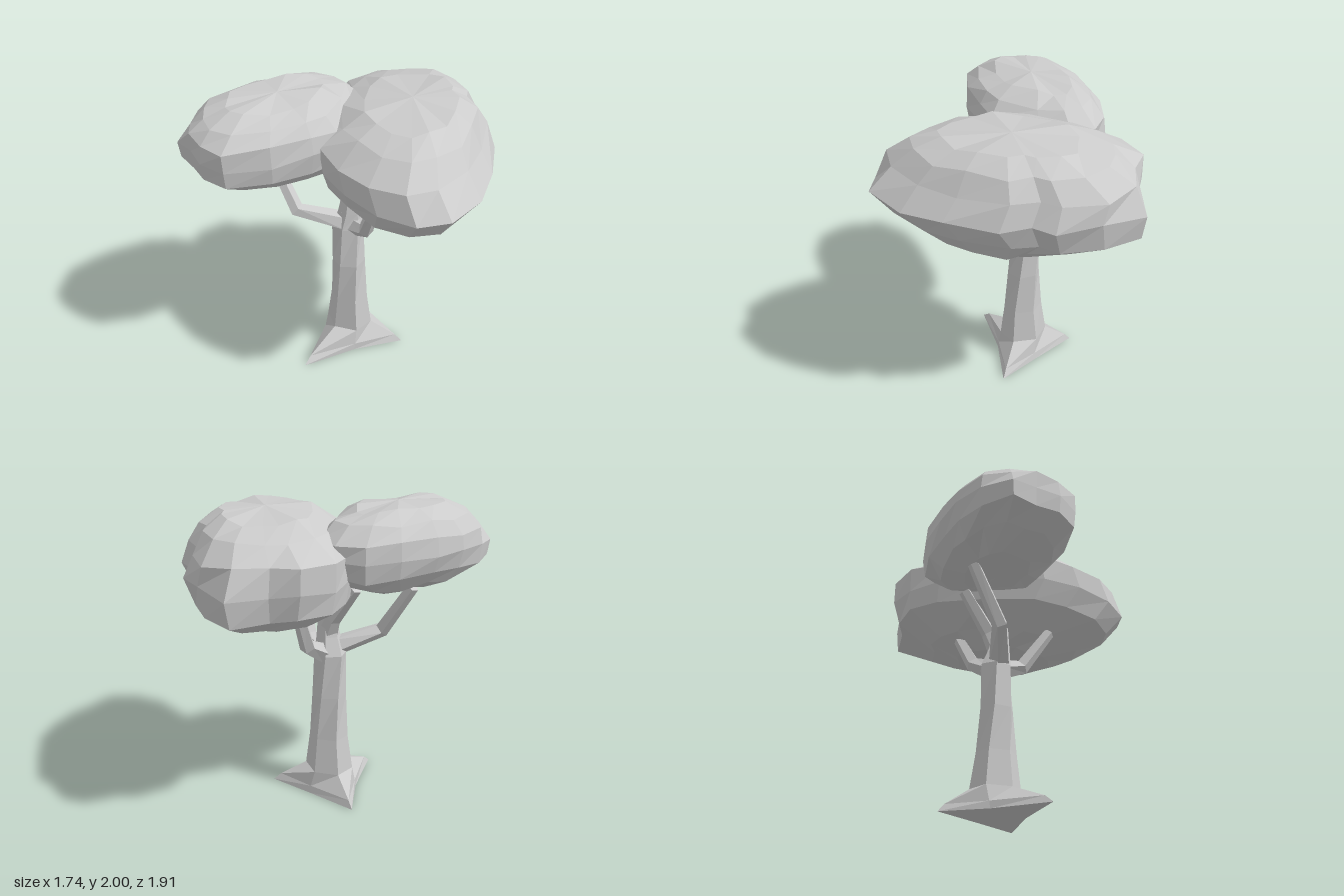
import * as THREE from 'three';

const material = new THREE.MeshStandardMaterial({ color: 0xcccccc, flatShading: true });

// Small seeded generator, returns -1..1
function seeded(seed) {
  return () => {
    seed = (seed * 16807) % 2147483647;
    return (seed / 2147483647) * 2 - 1;
  };
}

// Skin a stack of closed rings (anticlockwise around the growing direction), closed by two end points
function loft(name, rings, start, end) {
  const pos = [];
  const tri = (...pts) => pts.forEach((p) => pos.push(p.x, p.y, p.z));
  const n = rings[0].length, last = rings[rings.length - 1];
  for (let j = 0; j < n; j++) {
    const k = (j + 1) % n;
    tri(start, rings[0][k], rings[0][j]);
    for (let i = 0; i < rings.length - 1; i++) {
      const a = rings[i], b = rings[i + 1];
      tri(a[j], a[k], b[k]);
      tri(a[j], b[k], b[j]);
    }
    tri(end, last[j], last[k]);
  }
  const geometry = new THREE.BufferGeometry();
  geometry.setAttribute('position', new THREE.Float32BufferAttribute(pos, 3));
  geometry.computeVertexNormals();
  const mesh = new THREE.Mesh(geometry, material);
  mesh.name = name;
  return mesh;
}

// Tapered five-sided limb along a bent path
function limb(name, path, radii) {
  const pts = path.map((p) => new THREE.Vector3(...p));
  const rings = pts.map((p, i) => {
    const d = pts[Math.min(i + 1, pts.length - 1)].clone().sub(pts[Math.max(i - 1, 0)]).normalize();
    const u = new THREE.Vector3(0, 0, 1).addScaledVector(d, -d.z).normalize();
    const v = d.clone().cross(u);
    return Array.from({ length: 5 }, (_, j) => {
      const t = (j / 5) * Math.PI * 2;
      return p.clone().addScaledVector(u, radii[i] * Math.cos(t)).addScaledVector(v, radii[i] * Math.sin(t));
    });
  });
  return loft(name, rings, pts[0], pts[pts.length - 1]);
}

// Faceted leaf mass. Outline points are [x, z, pull], pull drawing a corner in above the widest level.
// Levels are [y, scaleX, scaleZ, shiftX, shiftZ] about the centre.
function canopy(name, outline, [cx, cz], levels, widest, bottom, top, seed) {
  const rnd = seeded(seed);
  const rings = levels.map(([y, sx, sz, dx = 0, dz = 0]) => outline.map(([x, z, pull = 1]) => {
    const f = (y > widest ? pull : 1) * (y === widest ? 1 : 1 + 0.03 * rnd());
    return new THREE.Vector3(cx + dx + (x - cx) * sx * f, y + 0.018 * rnd(), cz + dz + (z - cz) * sz * f);
  }));
  return loft(name, rings, new THREE.Vector3(cx, bottom, cz), new THREE.Vector3(cx, top, cz));
}

export function createModel() {
  const tree = new THREE.Group();
  tree.name = 'tree';

  // Trunk: three flared roots with hollows between them, blending into a twisting six-sided stem
  const roots = [[-0.13, 0.5], [-0.02, 0.13], [0.14, -0.19], [-0.17, -0.14], [-0.52, -0.09], [-0.32, 0.16]];
  const tips = [[-0.14, 0.44], [-0.02, 0.12], [0.1, -0.16], [-0.17, -0.13], [-0.48, -0.08], [-0.32, 0.15]];
  const at = (plan, y) => plan.map(([x, z]) => new THREE.Vector3(x, y, z));
  const stem = ([y, cx, cz, rx, rz, twist]) => Array.from({ length: 6 }, (_, j) => {
    const t = 0.07 + twist + (j / 6) * Math.PI * 2;
    return new THREE.Vector3(cx + rx * Math.sin(t), y, cz + rz * Math.cos(t));
  });
  const stemLevels = [
    [0.16, -0.18, 0.035, 0.17, 0.15, 0],
    [0.4, -0.175, 0.035, 0.137, 0.12, 0],
    [0.7, -0.175, 0.035, 0.115, 0.11, 0.2],
    [1.0, -0.185, 0.03, 0.11, 0.105, 0.4],
    [1.12, -0.165, 0.03, 0.08, 0.08, 0.5],
    [1.3, -0.145, 0.03, 0.055, 0.05, 0.5],
  ];
  tree.add(loft('trunk', [at(roots, 0), at(tips, 0.05), ...stemLevels.map(stem)],
    new THREE.Vector3(-0.18, 0, 0.04), new THREE.Vector3(-0.145, 1.3, 0.03)));

  // Branches
  const branches = {
    frontRightBranch: [[-0.18, 1.03, 0.06], [-0.38, 1.14, 0.31], [-0.61, 1.48, 0.33]],
    leftBranch: [[-0.14, 1.0, 0.02], [0.02, 1.06, 0.05], [0.19, 1.34, 0.14]],
    backBranch: [[-0.17, 1.0, -0.01], [-0.2, 1.1, -0.19], [-0.25, 1.34, -0.31]],
    innerBranch: [[-0.16, 1.12, 0.03], [-0.23, 1.25, 0.01], [-0.43, 1.5, 0.0]],
  };
  for (const [name, path] of Object.entries(branches)) tree.add(limb(name, path, [0.07, 0.052, 0.04]));

  // Large canopy
  tree.add(canopy('largeCanopy', [
    [-0.03, 0.35], [0.24, 0.41], [0.52, 0.41], [0.75, 0.32], [0.87, 0.16, 0.95], [0.82, -0.14], [0.68, -0.39],
    [0.47, -0.65], [0.29, -0.71], [0.21, -0.83], [-0.05, -0.92], [-0.34, -0.96, 0.9], [-0.46, -0.74],
    [-0.59, -0.62], [-0.62, -0.37], [-0.53, -0.16], [-0.33, 0.12],
  ], [0.12, -0.25], [
    [1.25, 0.4, 0.38, 0, -0.03], [1.33, 0.64, 0.61, -0.01, -0.03], [1.45, 0.89, 0.92, -0.05, -0.02],
    [1.61, 1, 1], [1.76, 0.91, 0.97, -0.05], [1.87, 0.73, 0.78, -0.02, -0.01], [1.945, 0.5, 0.55],
  ], 1.61, 1.22, 1.97, 7));

  // Small canopy
  tree.add(canopy('smallCanopy', [
    [-0.44, 0.95], [-0.27, 0.9], [-0.12, 0.66], [-0.05, 0.4], [-0.03, 0.22], [-0.2, -0.07], [-0.34, -0.21],
    [-0.5, -0.25], [-0.66, -0.17], [-0.77, 0.02], [-0.84, 0.28], [-0.87, 0.48], [-0.85, 0.7],
    [-0.77, 0.9, 0.84], [-0.6, 0.91],
  ], [-0.44, 0.36], [
    [1.47, 0.45, 0.42], [1.53, 0.77, 0.73], [1.61, 0.94, 0.96], [1.73, 1, 1], [1.84, 0.97, 0.99],
    [1.92, 0.8, 0.82], [1.98, 0.5, 0.58],
  ], 1.73, 1.44, 2.0, 23));

  return tree;
}
